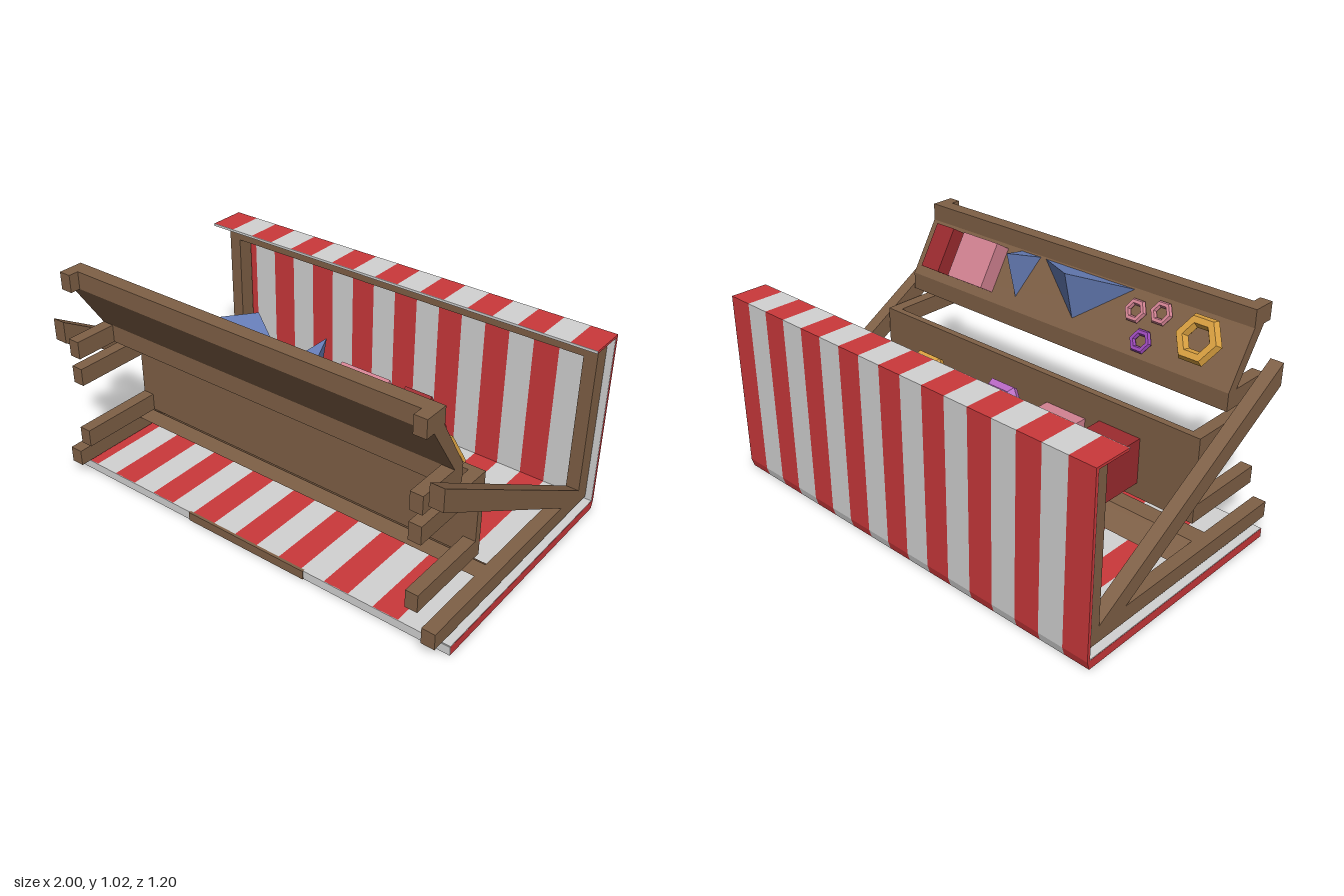
import * as THREE from 'three';
import { ConvexGeometry } from 'three/addons/geometries/ConvexGeometry.js';

const material = (name, color) => {
  const m = new THREE.MeshStandardMaterial({ color });
  m.name = name;
  return m;
};

export function createModel() {
  const wood = material('wood', 0x7f6046);
  const red = material('stripeRed', 0xcb383b);
  const white = material('stripeWhite', 0xd2d2d2);
  const crimson = material('crimson', 0x9c2b2f);
  const pink = material('pink', 0xd28292);
  const gold = material('gold', 0xd9a03f);
  const purple = material('purple', 0xb868c4);
  const violet = material('violet', 0x9a48b8);
  const blue = material('blue', 0x677eb8);

  const model = new THREE.Group();
  model.name = 'marketStall';
  const group = (name) => {
    const g = new THREE.Group();
    g.name = name;
    model.add(g);
    return g;
  };
  const add = (parent, name, geometry, mat) => {
    const mesh = new THREE.Mesh(geometry, mat);
    mesh.name = name;
    parent.add(mesh);
    return mesh;
  };
  // Box given by its limits on each axis
  const box = (parent, name, mat, x0, x1, y0, y1, z0, z1) => {
    const mesh = add(parent, name, new THREE.BoxGeometry(x1 - x0, y1 - y0, z1 - z0), mat);
    mesh.position.set((x0 + x1) / 2, (y0 + y1) / 2, (z0 + z1) / 2);
    return mesh;
  };
  // Profile of [z, y] points, extruded from x0 to x1
  const profile = (parent, name, mat, points, x0, x1) => {
    const shape = new THREE.Shape(points.map(([z, y]) => new THREE.Vector2(z, y)));
    const g = new THREE.ExtrudeGeometry(shape, { depth: x1 - x0, bevelEnabled: false });
    g.rotateY(-Math.PI / 2).translate(x1, 0, 0);
    return add(parent, name, g, mat);
  };
  // Faceted six-sided ring
  const ring = (parent, name, mat, radius, tube, x, y, z, tilt = 0) => {
    const g = new THREE.TorusGeometry(radius - tube, tube, 6, 6).toNonIndexed();
    g.computeVertexNormals();
    const mesh = add(parent, name, g, mat);
    mesh.position.set(x, y, z);
    mesh.rotation.x = tilt;
    return mesh;
  };

  // Striped cover: broad panel, upright panel and folded lip
  const cover = group('cover');
  const coverProfile = [[0.535, 0], [-0.585, 0], [-0.597, 0.04], [-0.597, 0.852], [-0.425, 0.852],
    [-0.425, 0.841], [-0.584, 0.841], [-0.584, 0.04], [0.535, 0.04]];
  const stripes = 17;
  for (let i = 0; i < stripes; i++) {
    const x0 = -1 + (2 * i) / stripes;
    profile(cover, 'coverStripe', i % 2 ? white : red, coverProfile, x0, x0 + 2 / stripes);
  }
  // Pale hems on the open edges
  box(cover, 'frontHem', white, -1, 1, 0, 0.04, 0.535, 0.538);
  box(cover, 'lipHem', white, -1, 1, 0.841, 0.852, -0.425, -0.422);
  for (const s of [-1, 1]) {
    const [a, b] = s > 0 ? [0.95, 0.999] : [-0.999, -0.95];
    box(cover, 'sideHem', white, a, b, 0.04, 0.043, -0.58, 0.535);
    box(cover, 'sideHem', white, a, b, 0.04, 0.841, -0.584, -0.581);
  }
  box(cover, 'edgePlank', wood, -0.31, 0.31, 0, 0.041, 0.53, 0.543);

  // Side frames with diagonal braces
  const frame = group('frame');
  for (const [a, b] of [[-0.97, -0.91], [0.91, 0.97]]) {
    box(frame, 'framePost', wood, a, b, 0.057, 0.83, -0.577, -0.5);
    box(frame, 'frameLeg', wood, a, b, 0.057, 0.13, -0.5, 0.6);
    profile(frame, 'diagonalBrace', wood, [[-0.5, 0.13], [-0.345, 0.13], [0.6, 0.68], [0.6, 0.78]], a, b);
  }
  box(frame, 'frameBeam', wood, -0.91, 0.91, 0.765, 0.83, -0.577, -0.5);
  profile(frame, 'slantedCrossbar', wood,
    [[0.07, 0.057], [0.155, 0.057], [0.24, 0.13], [0.155, 0.13]], -0.91, 0.91);

  // Table board and its legs
  const table = group('table');
  box(table, 'tableBoard', wood, -0.888, 0.888, 0.19, 0.58, 0.18, 0.212);
  for (const [a, b] of [[-0.888, -0.833], [0.833, 0.888]]) {
    for (const y of [0.19, 0.5]) box(table, 'tableLeg', wood, a, b, y, y + 0.08, 0.212, 0.6);
  }

  // Sloping display shelf and its legs
  const shelf = group('displayShelf');
  profile(shelf, 'shelfBoard', wood, [[0.35, 0.63], [0.405, 0.63], [0.405, 0.71], [0.555, 0.94],
    [0.555, 1.018], [0.49, 1.018], [0.49, 0.94], [0.35, 0.71]], -0.888, 0.888);
  for (const [a, b] of [[-0.888, -0.833], [0.833, 0.888]]) {
    box(shelf, 'shelfLeg', wood, a, b, 0.94, 1.018, 0.555, 0.6);
    box(shelf, 'shelfLeg', wood, a, b, 0.63, 0.71, 0.405, 0.6);
  }

  // Goods on the table
  const tableGoods = group('tableGoods');
  box(tableGoods, 'redCrate', crimson, -0.61, -0.4, 0.26, 0.47, -0.042, 0.178);
  box(tableGoods, 'pinkCrate', pink, -0.325, -0.115, 0.26, 0.45, 0.07, 0.178);
  ring(tableGoods, 'purpleRing', purple, 0.13, 0.036, 0.095, 0.375, 0.11, 0.15);
  for (let i = 0; i < 3; i++) {
    ring(tableGoods, 'goldRing', gold, 0.13, 0.036, 0.535 - 0.004 * i, 0.375, -0.058 + 0.07 * i, 0.15);
  }

  // Goods on the sloping shelf: local y runs up the board, -z points off it
  const shelfGoods = group('shelfGoods');
  shelfGoods.position.set(0, 0.71, 0.35);
  shelfGoods.rotation.x = 0.547;
  box(shelfGoods, 'redBox', crimson, 0.67, 0.78, 0.042, 0.252, -0.087, -0.001);
  box(shelfGoods, 'pinkBox', pink, 0.395, 0.605, 0.042, 0.252, -0.087, -0.001);
  for (const [x, w] of [[-0.07, 0.245], [0.26, 0.055]]) {
    const points = [[x - w, 0.262, -0.001], [x + w, 0.262, -0.001], [x, 0.06, -0.001], [x, 0.22, -0.165]];
    add(shelfGoods, 'bluePyramid', new ConvexGeometry(points.map((p) => new THREE.Vector3(...p))), blue);
  }
  ring(shelfGoods, 'goldRing', gold, 0.11, 0.03, -0.695, 0.155, -0.028);
  ring(shelfGoods, 'violetRing', violet, 0.055, 0.015, -0.44, 0.07, -0.015);
  ring(shelfGoods, 'pinkRing', pink, 0.055, 0.015, -0.485, 0.205, -0.015);
  ring(shelfGoods, 'pinkRing', pink, 0.055, 0.015, -0.365, 0.18, -0.015);

  return model;
}
